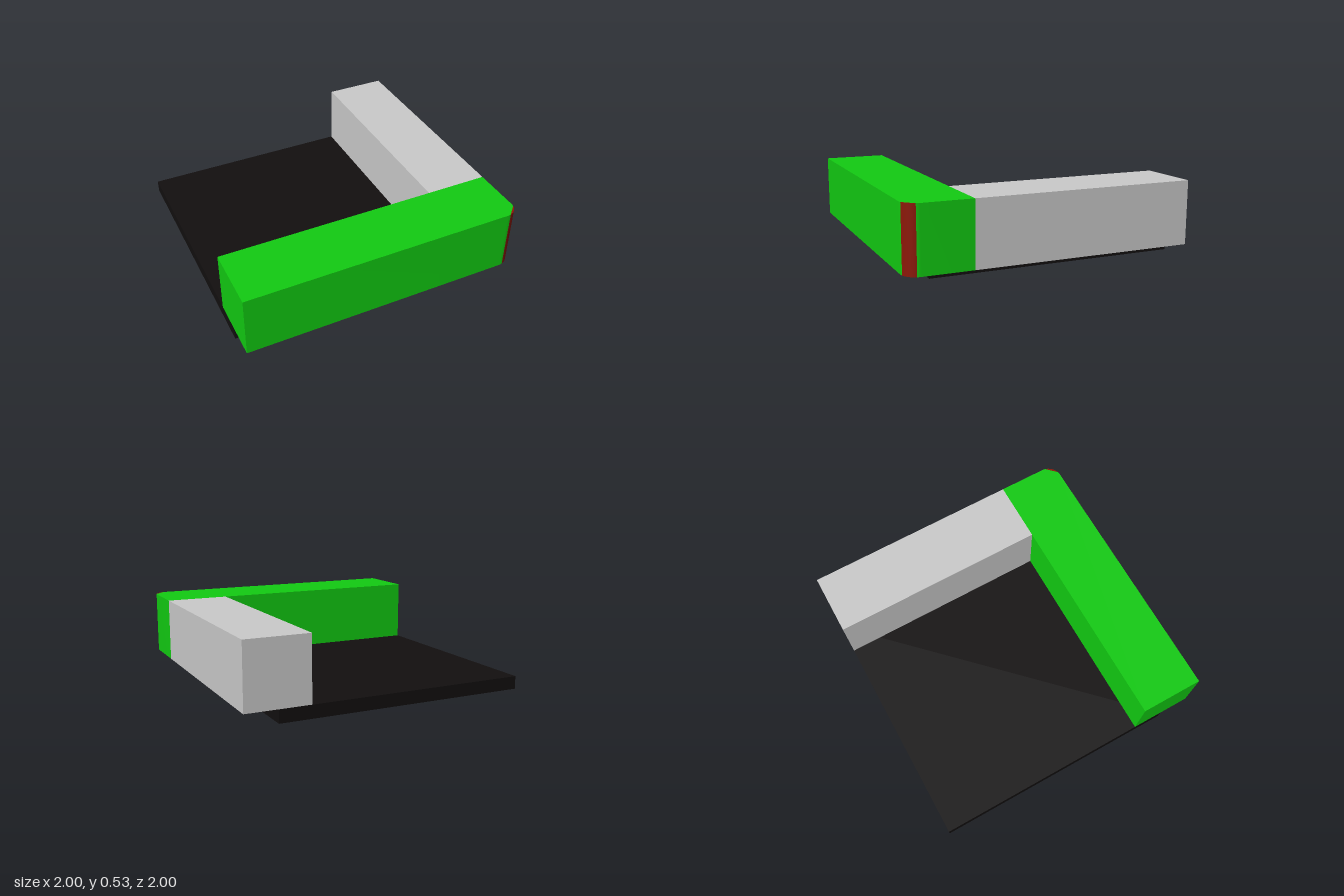
import * as THREE from 'three';
import { toCreasedNormals } from 'three/addons/utils/BufferGeometryUtils.js';

const BASE_TOP = 0.09, BAR_TOP = 0.535, INNER = 0.555, RADIUS = 0.1;

const paint = (color) => new THREE.MeshStandardMaterial({ color });

// Box given by its minimum and maximum corners
function block(name, [x0, y0, z0], [x1, y1, z1], material) {
  const mesh = new THREE.Mesh(new THREE.BoxGeometry(x1 - x0, y1 - y0, z1 - z0), material);
  mesh.position.set((x0 + x1) / 2, (y0 + y1) / 2, (z0 + z1) / 2);
  mesh.name = name;
  return mesh;
}

// Plan outline in (x, -z), raised from the base to the top of the bars
function raised(name, points, material) {
  const geometry = new THREE.ExtrudeGeometry(new THREE.Shape(points), {
    depth: BAR_TOP - BASE_TOP, bevelEnabled: false,
  });
  geometry.rotateX(-Math.PI / 2);
  const mesh = new THREE.Mesh(toCreasedNormals(geometry, 0.4), material);
  mesh.position.y = BASE_TOP;
  mesh.name = name;
  return mesh;
}

// Points on the rounded outer corner, angles in degrees from +x towards the front
function cornerArc(from, to, steps) {
  return Array.from({ length: steps + 1 }, (_, i) => {
    const a = THREE.MathUtils.degToRad(from + ((to - from) * i) / steps);
    return new THREE.Vector2(1 - RADIUS + RADIUS * Math.cos(a), -(1 - RADIUS + RADIUS * Math.sin(a)));
  });
}

export function createModel() {
  const model = new THREE.Group();
  model.name = 'cornerBlock';
  const v = (x, z) => new THREE.Vector2(x, -z);

  // Recessed base slab
  model.add(block('baseSlab', [-1, 0, -1], [0.775, BASE_TOP, 0.775], paint(0x120f0f)));

  // Side bar
  model.add(block('sideBar', [INNER, BASE_TOP, -1], [1, BAR_TOP, INNER], paint(0xcccccc)));

  // Front bar, with its outer corner cut to take the red trim
  model.add(raised('frontBar', [
    v(-1, INNER), v(-1, 1), ...cornerArc(90, 75, 3), ...cornerArc(15, 0, 3), v(1, INNER),
  ], paint(0x12cc12)));

  // Red rounded corner trim
  model.add(raised('cornerTrim', cornerArc(75, 15, 12), paint(0x8c1808)));

  return model;
}
